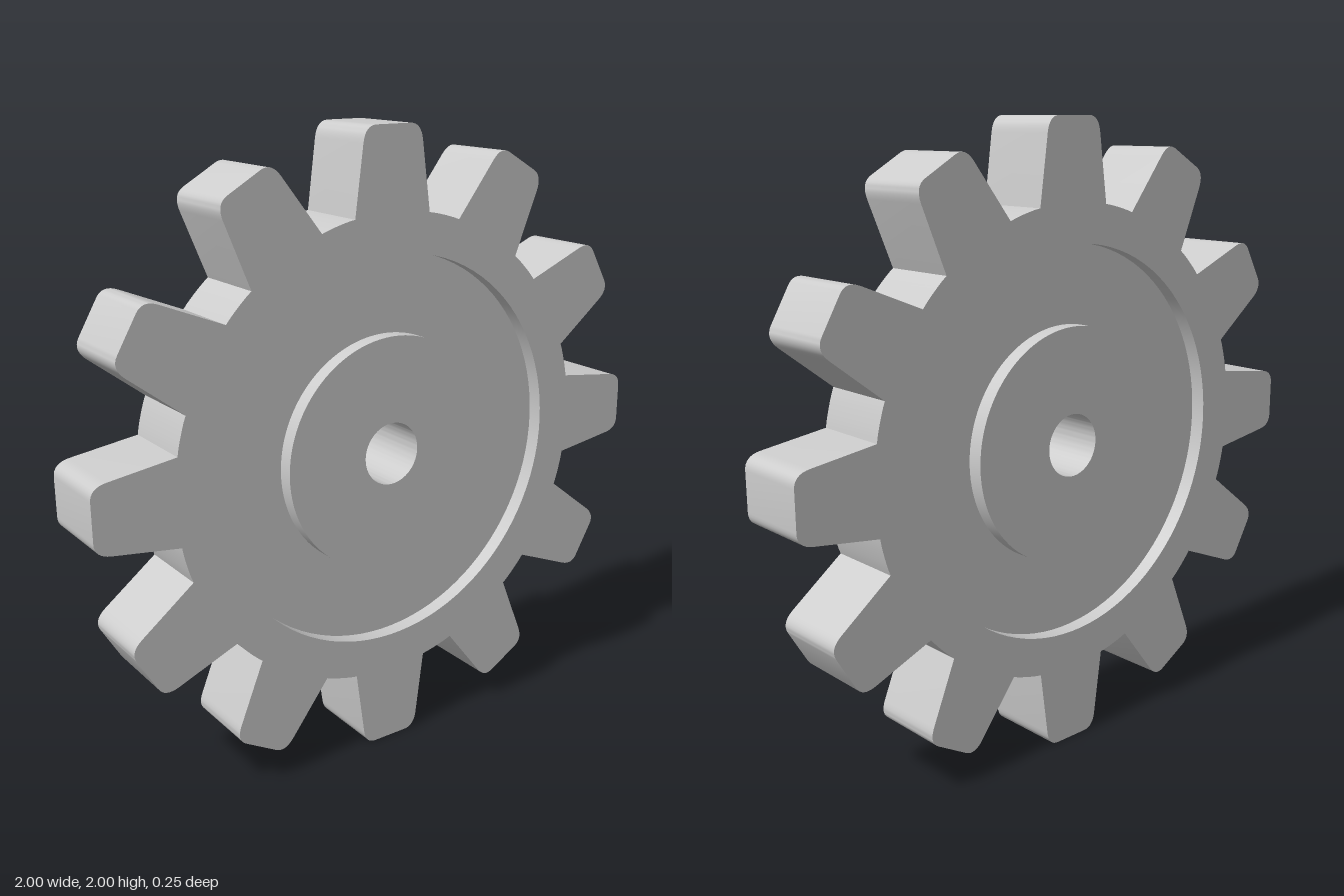
import * as THREE from 'three';
import { toCreasedNormals } from 'three/addons/utils/BufferGeometryUtils.js';

const TEETH = 12, SEGMENTS = 96;
const HALF = 0.125;    // half thickness of rim and hub
const WEB = 0.075;     // half thickness of the recessed web
const ROOT_R = 0.75, RIM_R = 0.625, HUB_R = 0.375, BORE_R = 0.1;

// Right half of an upright tooth, from the rounded tip down to the root
function halfTooth() {
  const tip = new THREE.QuadraticBezierCurve(
    new THREE.Vector2(0.06, 1), new THREE.Vector2(0.1, 1), new THREE.Vector2(0.107, 0.95));
  return [...tip.getPoints(8), new THREE.Vector2(0.136, 0.737)];
}

// Full toothed outline, clockwise from the top
function gearOutline() {
  const right = halfTooth();
  const left = right.map(p => new THREE.Vector2(-p.x, p.y)).reverse();
  const rootAngle = Math.atan2(0.136, 0.737);
  const pitch = (2 * Math.PI) / TEETH;
  const gap = [];
  for (let i = 1; i < 6; i++) {
    const a = rootAngle + (pitch - 2 * rootAngle) * (i / 6);
    gap.push(new THREE.Vector2(Math.sin(a) * ROOT_R, Math.cos(a) * ROOT_R));
  }
  const tooth = [...left, ...right, ...gap];
  const centre = new THREE.Vector2();
  const points = [];
  for (let t = 0; t < TEETH; t++) {
    for (const p of tooth) points.push(p.clone().rotateAround(centre, -t * pitch));
  }
  return points;
}

// Counter-clockwise circle, opposite to the outline, so the hole wall faces inward
function circle(radius) {
  return Array.from({ length: SEGMENTS }, (_, i) => {
    const a = (i / SEGMENTS) * 2 * Math.PI;
    return new THREE.Vector2(Math.cos(a) * radius, Math.sin(a) * radius);
  });
}

export function createModel() {
  const gear = new THREE.Group();
  gear.name = 'gear';
  const material = new THREE.MeshStandardMaterial({ color: 0xcccccc });
  const add = (name, geometry) => {
    const mesh = new THREE.Mesh(toCreasedNormals(geometry, 0.5), material);
    mesh.name = name;
    mesh.position.y = 1;
    gear.add(mesh);
  };

  // Toothed rim
  const shape = new THREE.Shape(gearOutline());
  shape.holes.push(new THREE.Path(circle(RIM_R)));
  const rim = new THREE.ExtrudeGeometry(shape, { depth: 2 * HALF, bevelEnabled: false });
  rim.translate(0, 0, -HALF);
  add('toothedRim', rim);

  // Recessed web and raised hub with its bore, turned about the axle
  const profile = [
    [RIM_R, WEB], [HUB_R, WEB], [HUB_R, HALF], [BORE_R, HALF],
    [BORE_R, -HALF], [HUB_R, -HALF], [HUB_R, -WEB], [RIM_R, -WEB],
  ].map(([r, z]) => new THREE.Vector2(r, z));
  const hub = new THREE.LatheGeometry(profile, SEGMENTS);
  hub.rotateX(Math.PI / 2);
  add('hubAndWeb', hub);

  return gear;
}
